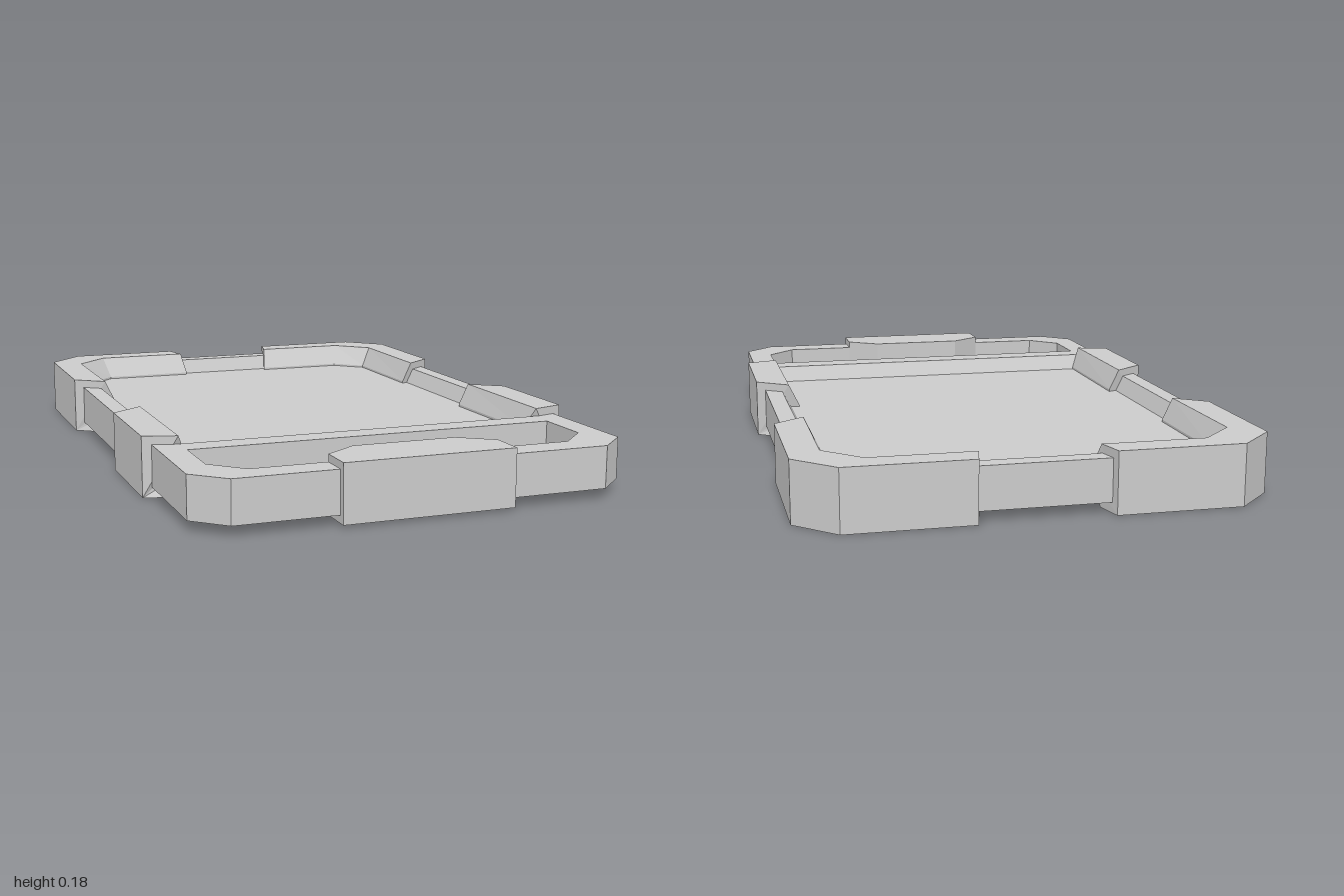
import * as THREE from 'three';

const material = new THREE.MeshStandardMaterial({
  color: 0xcccccc, flatShading: true, side: THREE.DoubleSide,
});

// Flat plate from an outline in x/z, between two heights
function plate(name, outline, y0, y1, holes = []) {
  const toPoints = (list) => list.map(([x, z]) => new THREE.Vector2(x, -z));
  const shape = new THREE.Shape(toPoints(outline));
  for (const hole of holes) shape.holes.push(new THREE.Path(toPoints(hole)));
  const geometry = new THREE.ExtrudeGeometry(shape, { depth: y1 - y0, bevelEnabled: false });
  geometry.rotateX(-Math.PI / 2).translate(0, y0, 0);
  const mesh = new THREE.Mesh(geometry, material);
  mesh.name = name;
  return mesh;
}

// Adds the mirrored half of a right-hand list of x/z points
const mirrored = (half) => [...half, ...half.map(([x, z]) => [-x, z]).reverse()];

// Rail with a bevelled inner side. Each station holds three x/z points:
// outer edge, inner edge of the top, and the innermost edge at mid height.
function rail(name, stations, [bottom, midLow, midHigh, top], closed = false) {
  const sections = stations.map(([o, t, m]) => [
    [o[0], bottom, o[1]], [o[0], top, o[1]],
    [t[0], top, t[1]], [m[0], midHigh, m[1]],
    [m[0], midLow, m[1]], [t[0], bottom, t[1]],
  ]);
  const n = sections.length;
  const positions = [];
  const triangle = (a, b, c) => positions.push(...a, ...b, ...c);
  for (let i = 0; i < (closed ? n : n - 1); i++) {
    const a = sections[i];
    const b = sections[(i + 1) % n];
    for (let k = 0; k < 6; k++) {
      const next = (k + 1) % 6;
      triangle(a[k], b[k], a[next]);
      triangle(a[next], b[k], b[next]);
    }
  }
  if (!closed) {
    const first = sections[0];
    const last = sections[n - 1];
    for (let k = 1; k < 5; k++) {
      triangle(first[0], first[k], first[k + 1]);
      triangle(last[0], last[k + 1], last[k]);
    }
  }
  const geometry = new THREE.BufferGeometry();
  geometry.setAttribute('position', new THREE.Float32BufferAttribute(positions, 3));
  geometry.computeVertexNormals();
  const mesh = new THREE.Mesh(geometry, material);
  mesh.name = name;
  return mesh;
}

const mirrorStations = (stations) =>
  stations.map((s) => s.map(([x, z]) => [-x, z])).reverse();

export function createModel() {
  const group = new THREE.Group();
  group.name = 'framedTablet';

  // Main frame with the panel window and the handle opening
  const outer = mirrored([[0.555, 0.978], [0.648, 0.89], [0.648, -0.89], [0.555, -0.975]]);
  const panelWindow = mirrored([[0.595, 0.54], [0.595, -0.81], [0.485, -0.92]]);
  const handleOpening = mirrored([[0.48, 0.89], [0.57, 0.8], [0.57, 0.62]]);
  group.add(plate('frame', outer, 0.03, 0.155, [panelWindow, handleOpening]));

  // Sloped lip running round the window
  const lipInner = mirrored([[0.57, 0.515], [0.57, -0.8], [0.465, -0.9]]);
  const lip = panelWindow.map((p, i) => [p, p, lipInner[i]]);
  group.add(rail('windowLip', lip, [0.03, 0.075, 0.105, 0.155], true));

  // Recessed panel, tucked slightly under the lip
  const panel = mirrored([[0.575, 0.52], [0.575, -0.802], [0.47, -0.905]]);
  group.add(plate('panel', panel, 0.075, 0.105));

  // Corner bumpers at the back and side bumpers at the front
  const cornerBumper = [
    [[0.675, -0.47], [0.582, -0.4], [0.55, -0.4]],
    [[0.675, -0.885], [0.585, -0.81], [0.55, -0.79]],
    [[0.56, -1], [0.48, -0.915], [0.46, -0.875]],
    [[0.192, -1], [0.172, -0.915], [0.16, -0.875]],
  ];
  const sideBumper = [
    [[0.675, 0.515], [0.575, 0.545], [0.545, 0.515]],
    [[0.675, 0.155], [0.575, 0.082], [0.542, 0.082]],
  ];
  const heights = [0, 0.068, 0.112, 0.18];
  group.add(rail('leftCornerBumper', cornerBumper, heights));
  group.add(rail('rightCornerBumper', mirrorStations(cornerBumper), heights));
  group.add(rail('leftSideBumper', sideBumper, heights));
  group.add(rail('rightSideBumper', mirrorStations(sideBumper), heights));

  // Grip block in the middle of the handle
  const grip = mirrored([[0.255, 1], [0.255, 0.89], [0.155, 0.82]]);
  group.add(plate('handleGrip', grip, 0.008, 0.177));

  return group;
}
